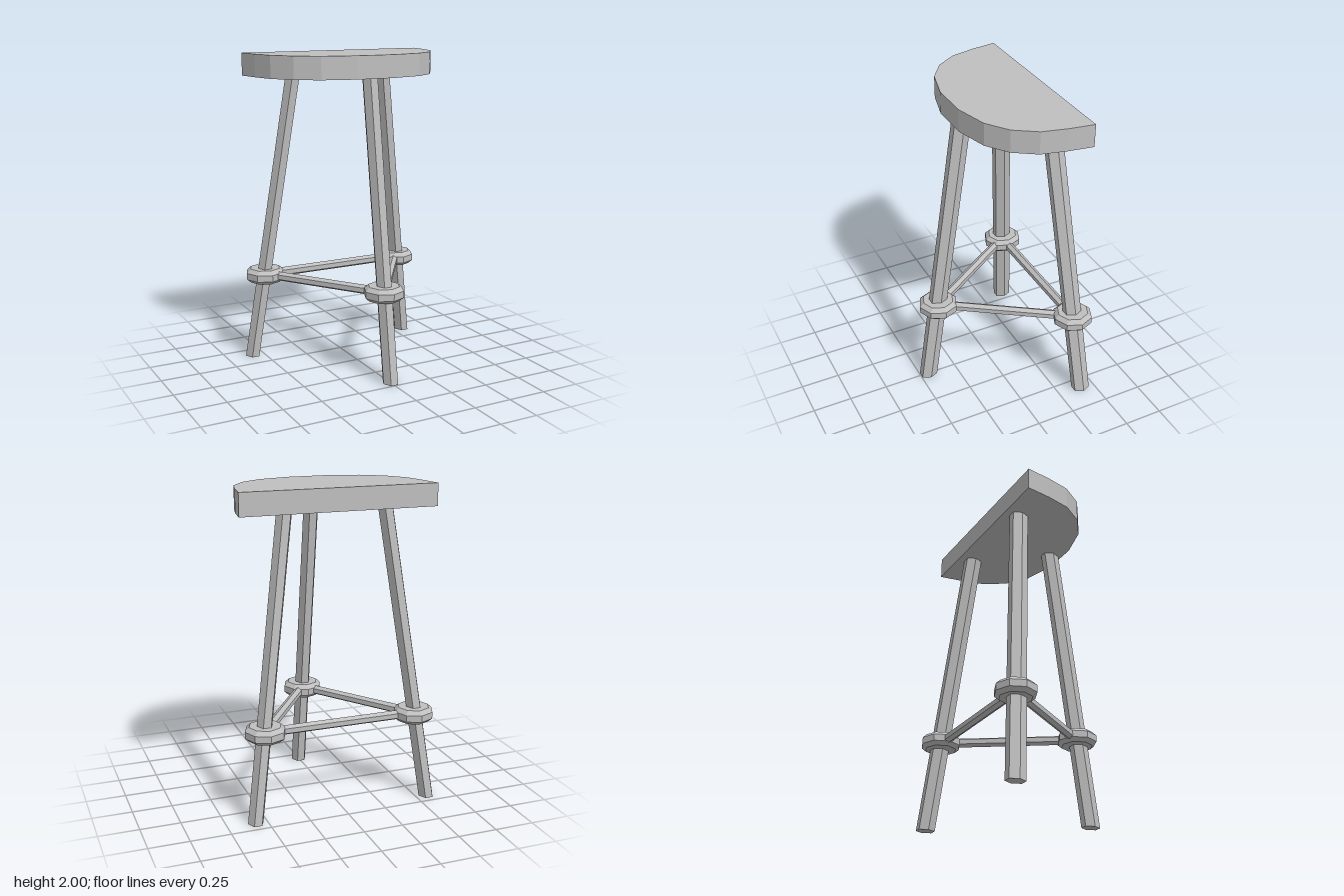
import * as THREE from 'three';

export function createModel() {
  const stool = new THREE.Group();
  stool.name = 'stool';
  const grey = new THREE.MeshStandardMaterial({ color: 0xbfbfbf, flatShading: true });
  grey.name = 'plain grey';

  const add = (geometry, name) => {
    const mesh = new THREE.Mesh(geometry, grey);
    mesh.name = name;
    stool.add(mesh);
    return mesh;
  };

  // Half-round seat: straight at the back, faceted curve at the front
  const half = [[0.62, -0.357], [0.597, -0.2], [0.56, -0.045], [0.47, 0.09], [0.335, 0.185], [0.125, 0.24]];
  const outline = [...half, ...half.map(([x, z]) => [-x, z]).reverse()];
  const shape = new THREE.Shape(outline.map(([x, z]) => new THREE.Vector2(x, -z)));
  const seatGeometry = new THREE.ExtrudeGeometry(shape, { depth: 0.14, bevelEnabled: false });
  seatGeometry.rotateX(-Math.PI / 2);
  add(seatGeometry, 'seat').position.y = 1.86;

  // Six-sided leg, sheared so that both ends stay level
  function leg(name, foot, top) {
    const height = 1.87;
    const g = new THREE.CylinderGeometry(1, 1, height, 6, 1, false, Math.PI / 6);
    g.scale(0.049, 1, 0.061);
    g.translate(0, height / 2, 0);
    const p = g.attributes.position;
    for (let i = 0; i < p.count; i++) {
      const t = p.getY(i) / height;
      p.setX(i, p.getX(i) + foot[0] + (top[0] - foot[0]) * t);
      p.setZ(i, p.getZ(i) + foot[1] + (top[1] - foot[1]) * t);
    }
    g.computeVertexNormals();
    add(g, name);
  }
  leg('frontLeg', [0, 0.442], [0, 0.165]);
  leg('backLeftLeg', [0.573, -0.41], [0.32, -0.257]);
  leg('backRightLeg', [-0.573, -0.41], [-0.32, -0.257]);

  // Eight-sided bevelled collars where the rungs meet the legs
  const joints = [[0, 0.353], [0.49, -0.366], [-0.49, -0.366]].map(([x, z]) => new THREE.Vector3(x, 0.56, z));
  const profile = [[0, -0.045], [0.1, -0.045], [0.127, -0.022], [0.127, 0.02], [0.1, 0.045], [0, 0.045]]
    .map(([r, y]) => new THREE.Vector2(r, y));
  ['frontCollar', 'backLeftCollar', 'backRightCollar'].forEach((name, i) => {
    add(new THREE.LatheGeometry(profile, 8), name).position.copy(joints[i]);
  });

  // Six-sided rungs with a ridge on top, joining each pair of collars
  ['leftRung', 'backRung', 'rightRung'].forEach((name, i) => {
    const a = joints[i];
    const b = joints[(i + 1) % 3];
    const g = new THREE.CylinderGeometry(0.03, 0.03, a.distanceTo(b), 6);
    g.rotateX(Math.PI / 2);
    const rung = add(g, name);
    rung.position.copy(a).lerp(b, 0.5);
    rung.lookAt(b);
  });

  return stool;
}
